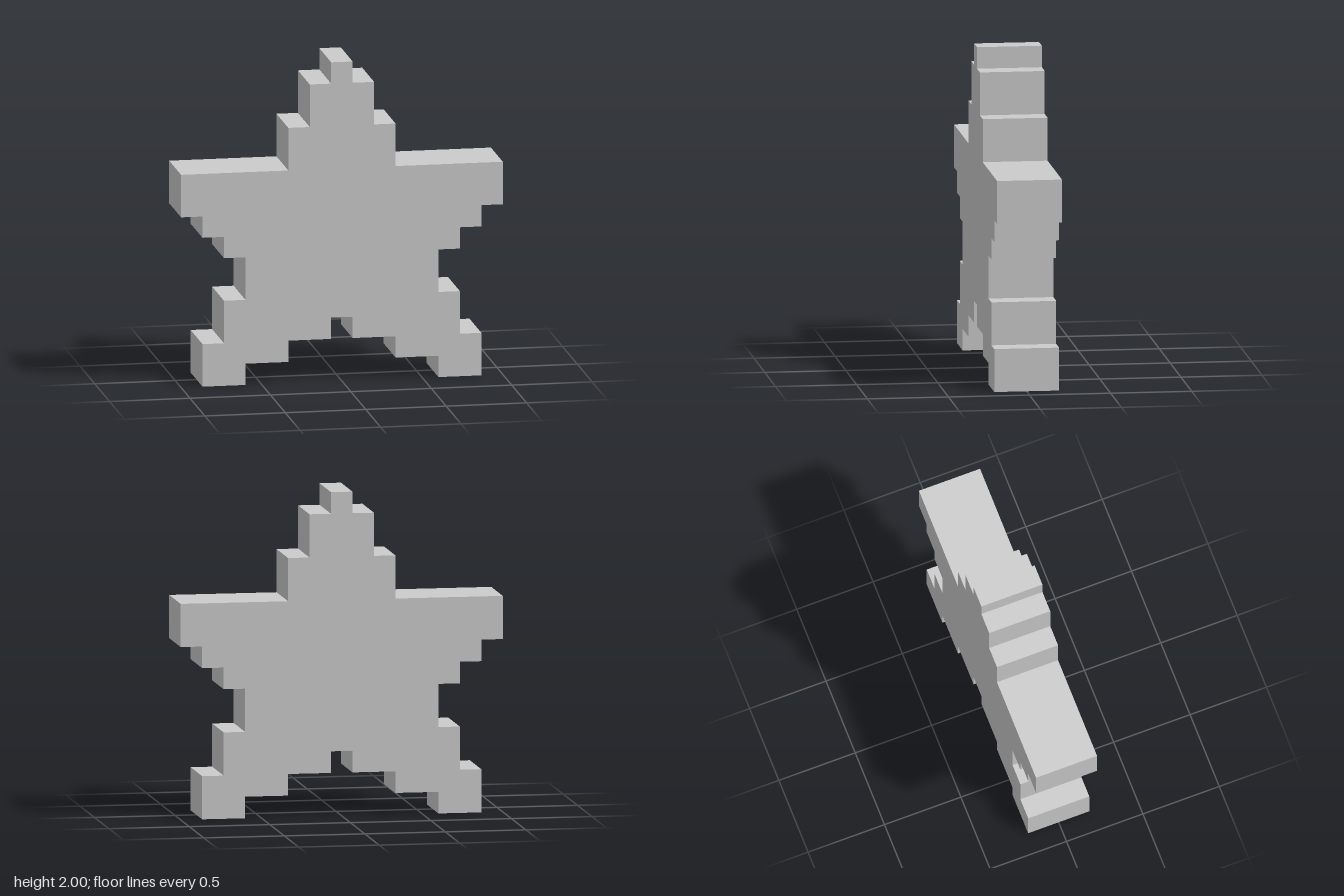
import * as THREE from 'three';

const CELL = 2 / 15; // the star sits on a 15 x 15 cell grid
const DEPTH = 3 * CELL;

// Left half of the stepped outline, in cells, from the tip down to the notch
const HALF = [
  [0.5, 15], [0.5, 14], [1.5, 14], [1.5, 12], [2.5, 12], [2.5, 10], // top point
  [7.5, 10], [7.5, 8], [6.5, 8], [6.5, 7], [5.5, 7], [5.5, 6],      // arm
  [4.5, 6], [4.5, 4],                                              // waist
  [5.5, 4], [5.5, 2], [6.5, 2], [6.5, 0],                          // leg, outside
  [4.5, 0], [4.5, 1], [2.5, 1], [2.5, 2], [0.5, 2], [0.5, 3],      // leg, inside
];

export function createModel() {
  const group = new THREE.Group();
  group.name = 'steppedStar';

  // Mirror the half outline to close the star
  const mirrored = HALF.map(([x, y]) => [-x, y]).reverse();
  const outline = [...HALF, ...mirrored].map(([x, y]) => new THREE.Vector2(x * CELL, y * CELL));

  const geometry = new THREE.ExtrudeGeometry(new THREE.Shape(outline), {
    depth: DEPTH,
    bevelEnabled: false,
  });
  geometry.translate(0, 0, -DEPTH / 2);

  const star = new THREE.Mesh(
    geometry,
    new THREE.MeshStandardMaterial({ color: 0xcccccc, flatShading: true })
  );
  star.name = 'starBody';
  group.add(star);
  return group;
}
